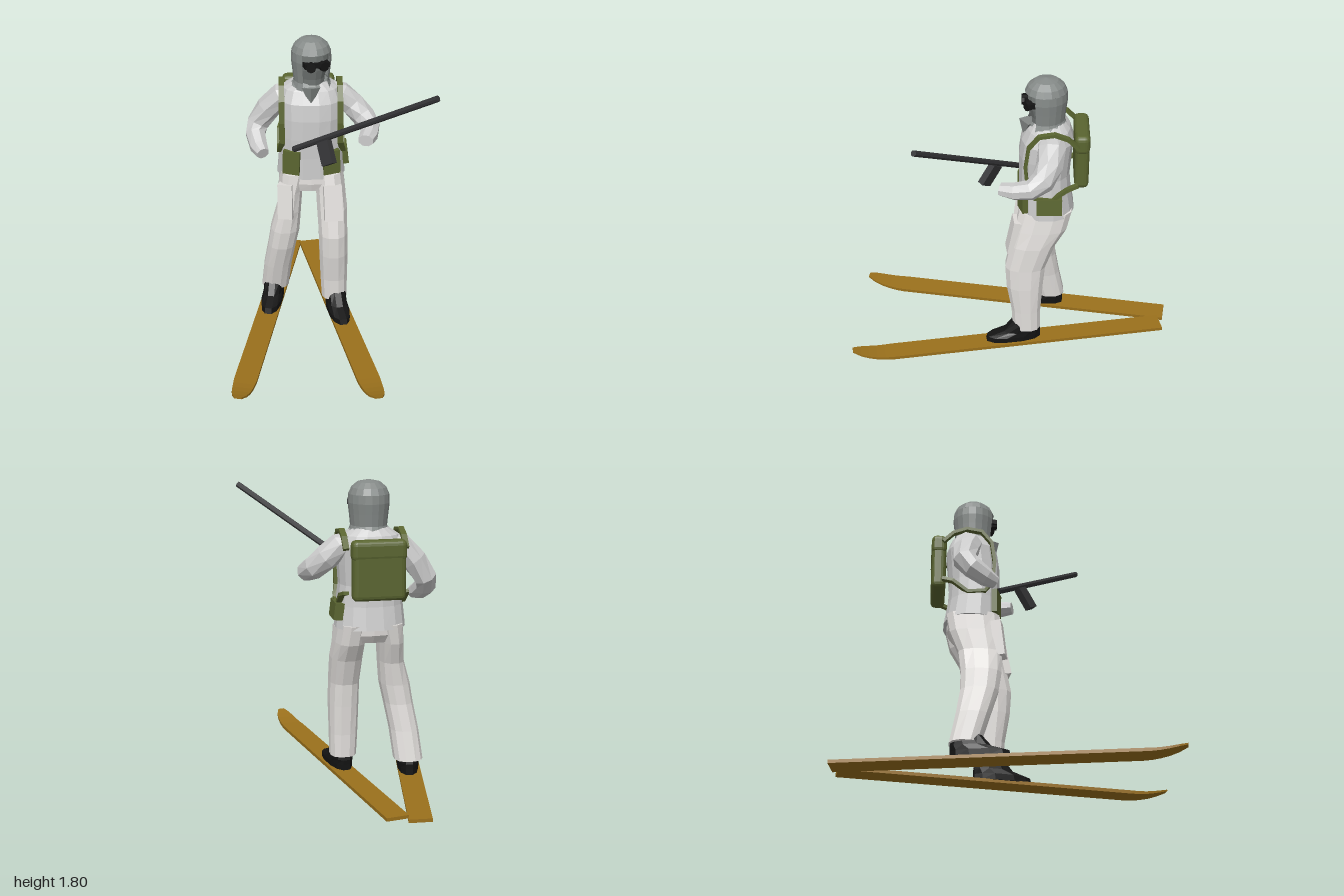
import * as THREE from 'three';
import { RoundedBoxGeometry } from 'three/addons/geometries/RoundedBoxGeometry.js';

const mat = (color) => new THREE.MeshStandardMaterial({ color, flatShading: true, side: THREE.DoubleSide });
const V = (x, y, z) => new THREE.Vector3(x, y, z);
const MID = -0.105; // body centre line

// Skin a list of rings (arrays of Vector3) and close both ends
function skin(rings) {
  const n = rings[0].length, last = rings.length - 1, pos = [], idx = [];
  rings.forEach((r) => r.forEach((p) => pos.push(p.x, p.y, p.z)));
  for (let i = 0; i < last; i++) for (let j = 0; j < n; j++) {
    const a = i * n + j, b = i * n + (j + 1) % n;
    idx.push(a, a + n, b, b, a + n, b + n);
  }
  [0, last].forEach((i) => {
    const c = rings[i].reduce((s, p) => s.add(p), V(0, 0, 0)).divideScalar(n);
    const k = pos.length / 3;
    pos.push(c.x, c.y, c.z);
    for (let j = 0; j < n; j++) {
      const a = i * n + j, b = i * n + (j + 1) % n;
      if (i === 0) idx.push(k, a, b); else idx.push(k, b, a);
    }
  });
  const g = new THREE.BufferGeometry();
  g.setAttribute('position', new THREE.Float32BufferAttribute(pos, 3));
  g.setIndex(idx);
  g.computeVertexNormals();
  return g;
}

// Horizontal superellipse sections: [x, y, z, halfWidth, halfDepth]
function loft(sections, n = 14, power = 2.4) {
  const f = (v) => Math.sign(v) * Math.abs(v) ** (2 / power);
  return skin(sections.map(([x, y, z, rx, rz]) => Array.from({ length: n }, (_, j) => {
    const t = (j + 0.5) / n * Math.PI * 2;
    return V(x + rx * f(Math.cos(t)), y, z + rz * f(Math.sin(t)));
  })));
}

// Sections square to a path: [x, y, z, radiusAcross, radiusOther]
function limb(points, n = 8) {
  const p = points.map((q) => V(q[0], q[1], q[2]));
  return skin(points.map((q, i) => {
    const t = p[Math.min(i + 1, p.length - 1)].clone().sub(p[Math.max(i - 1, 0)]).normalize();
    const u = V(1, 0, 0).addScaledVector(t, -t.x).normalize();
    const v = u.clone().cross(t);
    return Array.from({ length: n }, (_, j) => {
      const a = (j + 0.5) / n * Math.PI * 2;
      return p[i].clone().addScaledVector(u, q[3] * Math.cos(a)).addScaledVector(v, q[4] * Math.sin(a));
    });
  }));
}

// Long flat board with a narrowing, upturned tip
function skiGeometry() {
  const g = new THREE.BoxGeometry(0.134, 0.02, 1.97, 2, 1, 40), a = g.attributes.position;
  for (let i = 0; i < a.count; i++) {
    const t = Math.max(0, (a.getZ(i) - 0.75) / 0.235);
    a.setX(i, a.getX(i) * (1 - 0.3 * t - 0.4 * t ** 5));
    a.setY(i, a.getY(i) * (1 - 0.5 * t) + 0.045 * t * t);
  }
  g.computeVertexNormals();
  return g;
}

export function createModel() {
  const model = new THREE.Group();
  const white = mat(0xcccccc), trouser = mat(0xe2dfdc), grey = mat(0x858a88), mask = mat(0x737876);
  const olive = mat(0x5a6530), black = mat(0x141414), gun = mat(0x343436), wood = mat(0x9a701c);
  const add = (name, geo, material, pos = [0, 0, 0], rot = [0, 0, 0], parent = model) => {
    const m = new THREE.Mesh(geo, material);
    m.name = name;
    m.position.set(...pos);
    m.rotation.set(...rot);
    parent.add(m);
    return m;
  };

  // Skis and boots
  add('leftSki', skiGeometry(), wood, [0.07, 0.028, 0.015], [-0.003, 0.183, 0]);
  add('rightSki', skiGeometry(), wood, [-0.39, 0.021, -0.015], [-0.007, -0.163, -0.05]);
  const boot = loft([[0, 0.035, 0.075, 0.063, 0.175], [0, 0.07, 0.07, 0.066, 0.17],
    [0, 0.1, 0.02, 0.062, 0.12], [0, 0.17, 0, 0.062, 0.08]], 12);
  add('leftBoot', boot, black, [0.04, 0, -0.085], [0, 0.183, 0]);
  add('rightBoot', boot, black, [-0.345, 0, -0.235], [0, -0.163, 0]);

  // Trousers
  add('hips', loft([[MID, 0.86, -0.19, 0.175, 0.13], [MID, 0.91, -0.2, 0.19, 0.155],
    [MID, 1, -0.205, 0.19, 0.155]]), trouser);
  add('leftLeg', loft([[0.033, 0.12, -0.095, 0.08, 0.088], [0.03, 0.26, -0.092, 0.085, 0.092],
    [0.028, 0.44, -0.083, 0.09, 0.114], [0.025, 0.58, -0.085, 0.09, 0.125],
    [0.02, 0.74, -0.13, 0.095, 0.138], [0.012, 0.85, -0.175, 0.092, 0.16],
    [0, 0.97, -0.205, 0.09, 0.16]], 12), trouser);
  add('rightLeg', loft([[-0.337, 0.12, -0.25, 0.087, 0.09], [-0.318, 0.3, -0.205, 0.087, 0.1],
    [-0.29, 0.46, -0.168, 0.087, 0.112], [-0.268, 0.58, -0.158, 0.09, 0.12],
    [-0.243, 0.72, -0.163, 0.075, 0.13], [-0.232, 0.85, -0.19, 0.075, 0.155],
    [-0.21, 0.97, -0.205, 0.09, 0.16]], 12), trouser);
  add('leftThighPocket', new THREE.BoxGeometry(0.11, 0.22, 0.06), trouser, [0.022, 0.8, -0.02], [-0.2, 0.12, 0.03]);
  add('rightThighPocket', new THREE.BoxGeometry(0.09, 0.22, 0.06), trouser, [-0.262, 0.8, -0.055], [-0.12, -0.25, 0]);

  // Jacket
  add('jacket', loft([[MID, 0.945, -0.21, 0.208, 0.168], [MID, 1.08, -0.2, 0.196, 0.155],
    [-0.11, 1.2, -0.195, 0.187, 0.153], [MID, 1.32, -0.2, 0.19, 0.157], [MID, 1.42, -0.212, 0.192, 0.155],
    [MID, 1.49, -0.22, 0.165, 0.125], [MID, 1.53, -0.22, 0.1, 0.09]], 16), white);
  add('rightSleeve', limb([[-0.2, 1.45, -0.23, 0.05, 0.075], [-0.275, 1.425, -0.24, 0.07, 0.085],
    [-0.36, 1.33, -0.26, 0.075, 0.08], [-0.425, 1.23, -0.265, 0.07, 0.072], [-0.44, 1.175, -0.22, 0.062, 0.065],
    [-0.42, 1.125, -0.14, 0.055, 0.055], [-0.395, 1.105, -0.085, 0.04, 0.038]]), white);
  add('leftSleeve', limb([[0, 1.46, -0.23, 0.05, 0.075], [0.075, 1.43, -0.235, 0.07, 0.085],
    [0.15, 1.36, -0.22, 0.075, 0.08], [0.215, 1.295, -0.18, 0.07, 0.072], [0.248, 1.26, -0.11, 0.06, 0.06],
    [0.235, 1.245, -0.02, 0.056, 0.05], [0.212, 1.245, 0.06, 0.048, 0.036]]), white);

  // Hooded head, turned slightly to its left
  const head = new THREE.Group();
  head.name = 'head';
  head.position.set(-0.1, 0, -0.2);
  head.rotation.y = 0.28;
  model.add(head);
  const lathe = (pts, seg, start = 0, len = Math.PI * 2) =>
    new THREE.LatheGeometry(pts.map((p) => new THREE.Vector2(...p)), seg, start, len);
  const gap = 0.78;
  add('hoodSides', lathe([[0.12, 1.5], [0.106, 1.54], [0.113, 1.61], [0.12, 1.67], [0.117, 1.72]], 14, gap,
    Math.PI * 2 - 2 * gap), grey, [0, 0, 0], [0, 0, 0], head).scale.z = 1.06;
  add('hoodCrown', lathe([[0.117, 1.72], [0.101, 1.757], [0.066, 1.787], [0.001, 1.802]], 16), grey,
    [0, 0, 0], [0, 0, 0], head).scale.z = 1.06;
  add('face', lathe([[0.075, 1.5], [0.08, 1.56], [0.096, 1.62], [0.102, 1.67], [0.1, 1.73], [0.001, 1.77]], 14), mask,
    [0, 0, 0], [0, 0, 0], head).scale.z = 1.06;
  [-1, 1].forEach((s) => {
    add('goggleLens', new THREE.CylinderGeometry(0.03, 0.027, 0.05, 8), black,
      [s * 0.036, 1.655, 0.11], [Math.PI / 2, 0, s * -0.25], head);
  });
  add('goggleBand', new THREE.BoxGeometry(0.15, 0.03, 0.05), black, [0, 1.662, 0.1], [0, 0, 0], head);
  add('hoodCollar', lathe([[0.15, 1.47], [0.13, 1.51], [0.1, 1.535], [0.08, 1.54]], 14), grey, [0, 0, -0.015],
    [0, 0, 0], head).scale.z = 0.85;
  add('scarfPoint', new THREE.ConeGeometry(0.055, 0.11, 4), grey, [MID, 1.465, -0.085], [Math.PI - 0.25, 0, 0]);

  // Backpack with flap, harness and pouches
  add('backpack', new RoundedBoxGeometry(0.31, 0.35, 0.085, 2, 0.03), olive, [-0.115, 1.31, -0.413]);
  add('backpackFlap', new RoundedBoxGeometry(0.32, 0.12, 0.09, 2, 0.03), olive, [-0.115, 1.425, -0.413]);
  const strapPath = [[1.43, -0.39], [1.49, -0.33], [1.52, -0.25], [1.505, -0.16], [1.43, -0.1], [1.3, -0.083],
    [1.17, -0.095], [1.1, -0.14], [1.09, -0.24], [1.16, -0.33], [1.18, -0.39]];
  [-1, 1].forEach((s) => {
    add(s > 0 ? 'leftStrap' : 'rightStrap',
      limb(strapPath.map(([y, z], i) => [MID + s * (i > 6 && i < 10 ? 0.19 : 0.174), y, z, 0.024, 0.014]), 4), olive);
    add(s > 0 ? 'leftFrontPouch' : 'rightFrontPouch', new THREE.BoxGeometry(0.105, 0.15, 0.07), olive,
      [MID + s * 0.113, 1.053, -0.085], [0, s * 0.3, s * 0.04]);
  });
  add('sidePouch', new THREE.BoxGeometry(0.055, 0.1, 0.15), olive, [0.092, 1.05, -0.225], [0, 0, 0.12]);

  // Rifle: long barrel with a box magazine
  const a = V(-0.21, 1.145, -0.055), b = V(0.572, 1.695, 0.515);
  const dir = b.clone().sub(a), along = dir.clone().normalize();
  const barrel = add('rifleBarrel', new THREE.CylinderGeometry(0.018, 0.018, dir.length(), 8), gun);
  barrel.position.copy(a).add(b).multiplyScalar(0.5);
  barrel.quaternion.setFromUnitVectors(V(0, 1, 0), along);
  const up = V(-0.02, 0.14, -0.07).addScaledVector(along, -V(-0.02, 0.14, -0.07).dot(along)).normalize();
  const magazine = add('magazine', new THREE.BoxGeometry(0.085, 0.14, 0.04), gun, [-0.02, 1.2, 0.125]);
  magazine.quaternion.setFromRotationMatrix(new THREE.Matrix4().makeBasis(along, up, along.clone().cross(up)));
  return model;
}
